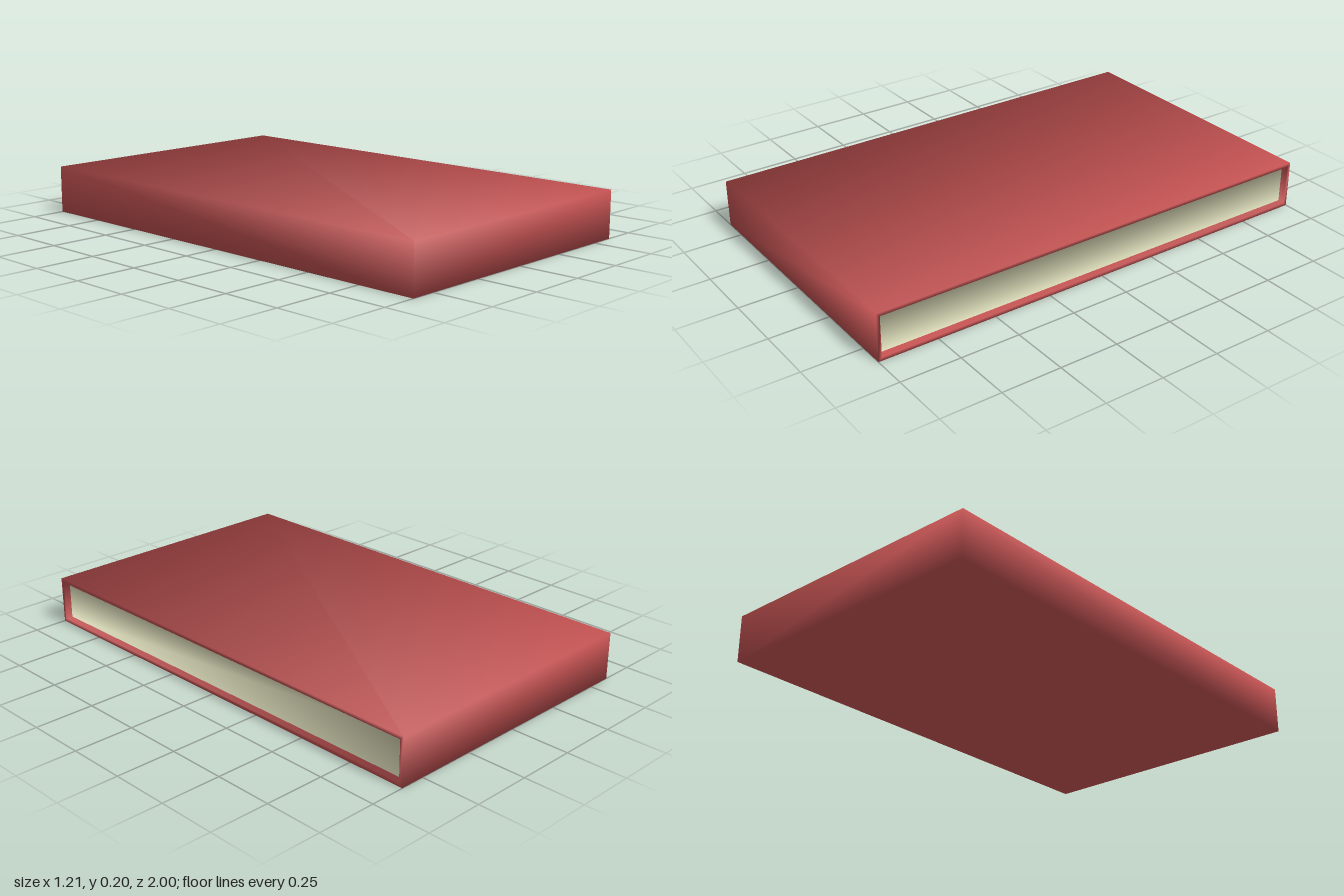
import * as THREE from 'three';

const W = 0.605, H = 0.2, L = 1; // half width, height, half length
const RIM = 0.015, RECESS = 0.03;

// Four corners at one x, going round as seen from +x.
// lean: x part of the normal; turn: 1 leans outwards, -1 inwards.
function addLoop(points, normals, x, inset, lean, turn) {
  const first = points.length / 3;
  for (const [sy, sz] of [[1, 1], [-1, 1], [-1, -1], [1, -1]]) {
    points.push(x, H / 2 + sy * (H / 2 - inset), sz * (L - inset));
    const n = new THREE.Vector3(lean, turn * sy, turn * sz).normalize();
    normals.push(n.x, n.y, n.z);
  }
  return [0, 1, 2, 3].map((i) => first + i);
}

// Band of four walls between two loops
function addBand(index, p, q) {
  for (let i = 0; i < 4; i++) {
    const j = (i + 1) % 4;
    const a = p[i], b = p[j], c = q[j], d = q[i];
    if (i === 1) index.push(a, b, c, a, c, d);
    else index.push(a, b, d, b, c, d);
  }
}

function makeMesh(name, points, normals, index, material) {
  const geometry = new THREE.BufferGeometry();
  geometry.setAttribute('position', new THREE.Float32BufferAttribute(points, 3));
  geometry.setAttribute('normal', new THREE.Float32BufferAttribute(normals, 3));
  geometry.setIndex(index);
  const mesh = new THREE.Mesh(geometry, material);
  mesh.name = name;
  return mesh;
}

export function createModel() {
  const red = new THREE.MeshStandardMaterial({ color: 0xc85454 });
  red.name = 'red cover';
  const cream = new THREE.MeshStandardMaterial({ color: 0xdcdcb9 });
  cream.name = 'cream pages';

  const group = new THREE.Group();
  group.name = 'book';

  // Cover: closed box with a shallow recess in its +x side, softly shaded
  const points = [], normals = [], index = [];
  const back = addLoop(points, normals, -W, 0, -1, 1);
  const front = addLoop(points, normals, W, 0, 1, 1);
  const rim = addLoop(points, normals, W, RIM, 1, -1);
  const floor = addLoop(points, normals, W - RECESS, RIM, 1, -1);
  addBand(index, back, front);
  addBand(index, front, rim);
  addBand(index, rim, floor);
  index.push(back[3], back[2], back[1], back[3], back[1], back[0]);
  group.add(makeMesh('cover', points, normals, index, red));

  // Pages: panel at the bottom of the recess
  const pagePoints = [], pageNormals = [];
  addLoop(pagePoints, pageNormals, W - RECESS, RIM, 1, -1);
  group.add(makeMesh('pages', pagePoints, pageNormals, [0, 1, 3, 1, 2, 3], cream));

  return group;
}
